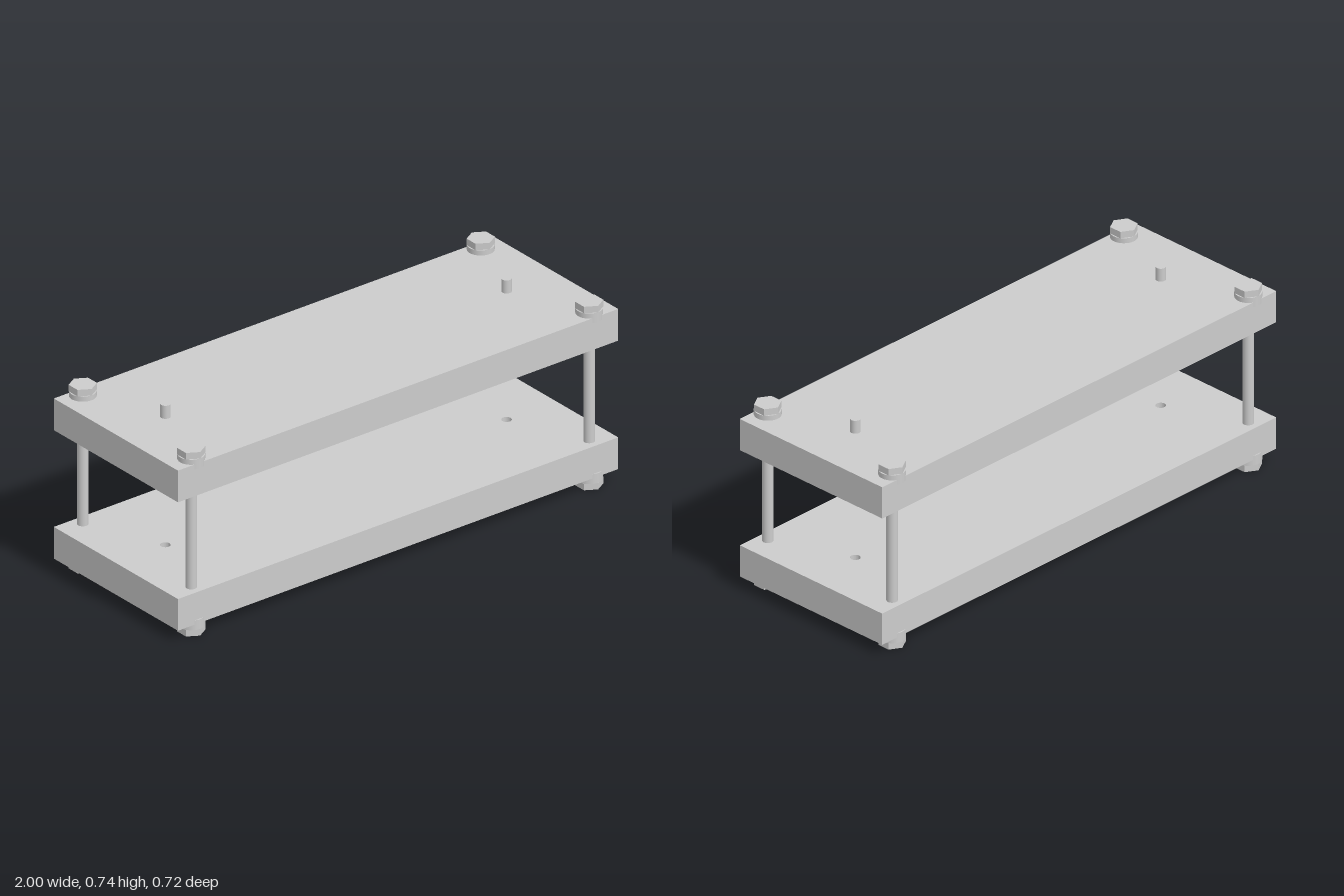
import * as THREE from 'three';

const material = new THREE.MeshStandardMaterial({ color: 0xcccccc });
const flatMaterial = new THREE.MeshStandardMaterial({ color: 0xcccccc, flatShading: true });

const PIN_X = 0.775, PIN_R = 0.019;
const BOLT_X = 0.904, BOLT_Z = 0.31, HEAD_R = 0.051;

function addMesh(parent, name, geometry, mat = material) {
  const mesh = new THREE.Mesh(geometry, mat);
  mesh.name = name;
  parent.add(mesh);
  return mesh;
}

// Upright cylinder between two heights
function post(radius, y0, y1, sides) {
  return new THREE.CylinderGeometry(radius, radius, y1 - y0, sides).translate(0, (y0 + y1) / 2, 0);
}

// Rectangular plate with two dowel holes
function plateGeometry(y0, y1) {
  const w = 1, d = 0.355;
  const shape = new THREE.Shape();
  shape.moveTo(-w, -d).lineTo(w, -d).lineTo(w, d).lineTo(-w, d).closePath();
  for (const s of [-1, 1]) {
    const hole = new THREE.Path();
    hole.absarc(s * PIN_X, 0, PIN_R, 0, Math.PI * 2, true);
    shape.holes.push(hole);
  }
  return new THREE.ExtrudeGeometry(shape, { depth: y1 - y0, bevelEnabled: false, curveSegments: 24 })
    .rotateX(-Math.PI / 2)
    .translate(0, y0, 0);
}

// Rod with a hexagonal head and round collar at each end
function createBolt() {
  const bolt = new THREE.Group();
  bolt.name = 'bolt';
  addMesh(bolt, 'rod', post(0.021, 0.04, 0.7, 24));
  addMesh(bolt, 'lowerHead', post(HEAD_R, 0, 0.026, 6), flatMaterial);
  addMesh(bolt, 'lowerCollar', post(HEAD_R - 0.001, 0.026, 0.065, 32));
  addMesh(bolt, 'upperCollar', post(HEAD_R - 0.001, 0.671, 0.71, 32));
  addMesh(bolt, 'upperHead', post(HEAD_R, 0.71, 0.736, 6), flatMaterial);
  return bolt;
}

export function createModel() {
  const model = new THREE.Group();
  model.name = 'clampPlates';

  addMesh(model, 'lowerPlate', plateGeometry(0.048, 0.175));
  addMesh(model, 'upperPlate', plateGeometry(0.563, 0.69));

  for (const sx of [-1, 1]) {
    // Corner bolts
    for (const sz of [-1, 1]) {
      const bolt = createBolt();
      bolt.position.set(sx * BOLT_X, 0, sz * BOLT_Z);
      model.add(bolt);
    }
    // Dowel pin seated in the upper plate
    addMesh(model, 'dowelPin', post(PIN_R, 0.65, 0.742, 24)).position.x = sx * PIN_X;
  }
  return model;
}
